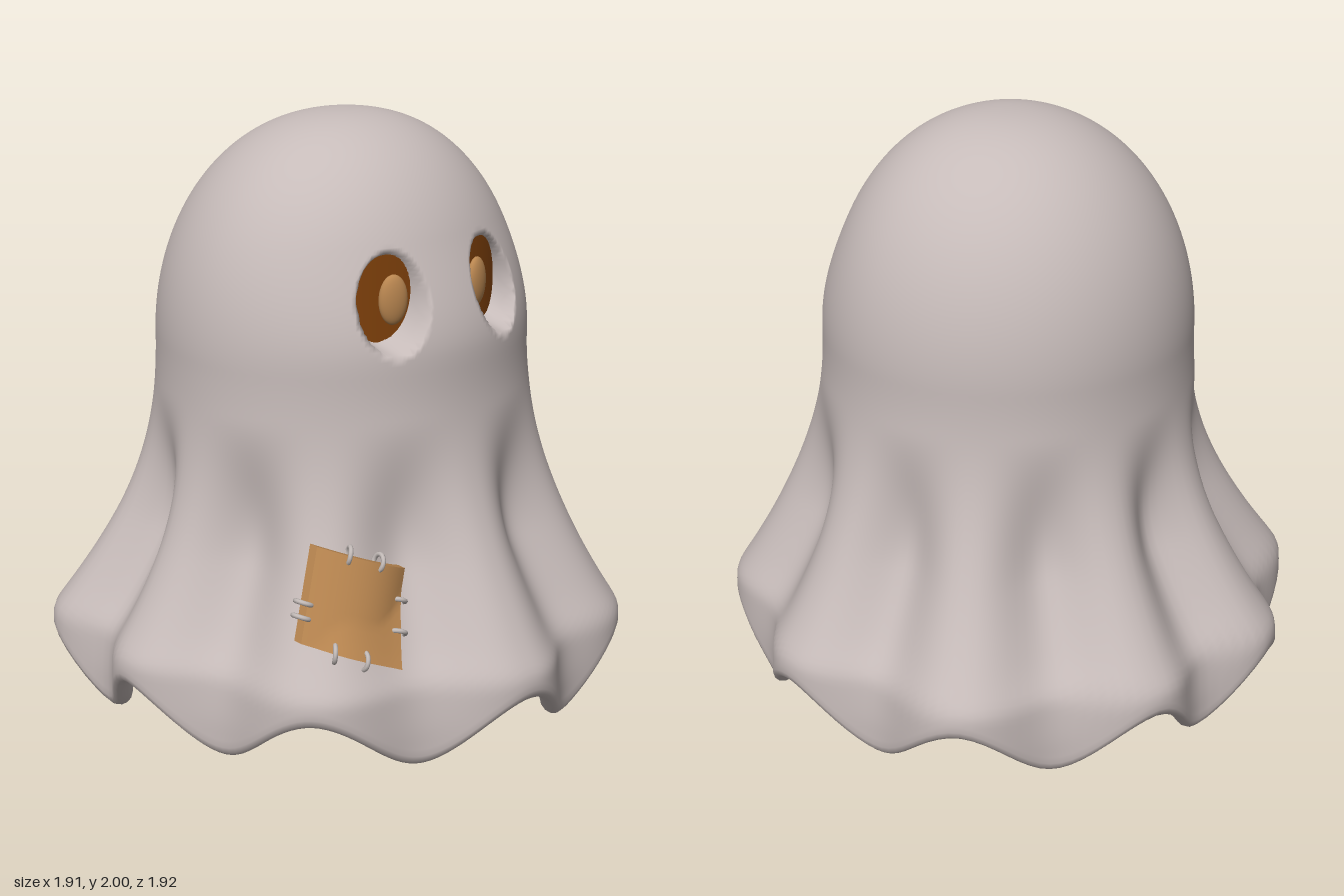
import * as THREE from 'three';

const { smoothstep, lerp, degToRad } = THREE.MathUtils;
const material = (name, color, side = THREE.FrontSide) => {
  const m = new THREE.MeshStandardMaterial({ color, side });
  m.name = name;
  return m;
};
const cloth = material('cloth', 0xc6bbb9);
const tan = material('tan', 0xb98650);
const brown = material('brown', 0x80410b, THREE.DoubleSide);
const thread = material('thread', 0xc2bab7);

const WAIST = 1.25, THICK = 0.075, EYE_Y = 1.475;

// Outward folds of the skirt: angle from +z towards +x, and reach at the hem
const FOLDS = [[0, 0.95], [42, 0.955], [86, 0.955], [126, 0.99], [166, 0.985],
  [199, 1.01], [239, 1.03], [270, 0.955], [314, 0.96], [360, 0.95]];

// crest is 1 on the folds and 0 in the grooves between them
function foldAt(a) {
  const deg = ((a * 180 / Math.PI) % 360 + 360) % 360;
  const i = FOLDS.findIndex((f, k) => deg < FOLDS[k + 1][0]);
  const [a0, r0] = FOLDS[i], [a1, r1] = FOLDS[i + 1];
  const t = (deg - a0) / (a1 - a0);
  return { crest: 0.5 + 0.5 * Math.cos(t * Math.PI * 2), reach: lerp(r0, r1, smoothstep(t, 0, 1)) };
}

// Radius of the sheet at angle a and height y
function radius(a, y) {
  let r;
  if (y > WAIST) {
    const s = Math.min(1, (y - WAIST) / 0.75);
    r = 0.64 * Math.pow(Math.sqrt(1 - s * s), 0.9);
  } else {
    const { crest, reach } = foldAt(a);
    const flare = 0.64 + 0.34 * Math.pow(WAIST - y, 2.1);
    const k = 0.008; // soft limit so the flare stops at the hem
    r = -k * Math.log(Math.exp(-flare / k) + Math.exp(-0.958 / k));
    r *= 1 + (reach / 0.955 - 1) * (1 - smoothstep(y, 0.2, 1.1));
    const groove = 0.1 + 0.025 * smoothstep(y, 0.1, 0.4);
    r -= groove * (1 - smoothstep(y, 0.6, 1.1)) * Math.pow(1 - crest, 1.2);
  }
  // flatter face, head leaning slightly to -x
  const front = Math.max(0, Math.cos(a)) ** 2;
  const flat = 0.06 * smoothstep(y, 0.4, 1.2) + 0.06 * smoothstep(y, 1.3, 1.65);
  return r * (1 - front * flat - 0.02 * Math.sin(a) * smoothstep(y, 0.6, 1.2));
}

// Depth of the front of the sheet, without the eye sockets
function frontZ(x, y) {
  let z = 0.6;
  for (let i = 0; i < 40; i++) {
    const r = radius(Math.atan2(x, z), y);
    z = 0.5 * z + 0.5 * Math.sqrt(Math.max(0.001, r * r - x * x));
  }
  return z;
}

// Eye ellipses lean towards each other at the top
const eyes = [-1, 1].map((side) => ({ side, x: -0.015 + side * 0.213, tilt: side * 0.2 }));
const EYE_W = 0.095, EYE_H = 0.134;

// Upright back of the sockets, so they deepen towards the bottom
const eyeBackZ = (x) => frontZ(x, 1.6) - 0.025;

// 1 inside the sockets, falling to 0 across their rims
function socketMask(x, y) {
  return Math.max(...eyes.map((e) => {
    const dx = x - e.x, dy = y - EYE_Y;
    const c = Math.cos(e.tilt), s = Math.sin(e.tilt);
    const q = Math.hypot((dx * c + dy * s) / EYE_W, (-dx * s + dy * c) / EYE_H);
    return 1 - smoothstep(q, 0.97, 1.22);
  }));
}

// Sheet: outer skin down to the hem, round the rim and up the inner skin
function sheetGeometry() {
  const DOME = 68, SKIRT = 50, COLS = 220, RIM = 6;
  const rows = [];
  for (let i = 0; i <= DOME + SKIRT; i++) rows.push({ i, off: 0, drop: 0 });
  for (let k = 1; k < RIM; k++) {
    const p = (k / RIM) * Math.PI;
    rows.push({ i: DOME + SKIRT, off: THICK / 2 * (1 - Math.cos(p)), drop: THICK / 2 * Math.sin(p) });
  }
  for (let i = DOME + SKIRT; i >= 0; i--) rows.push({ i, off: THICK, drop: 0 });

  const pos = [], index = [];
  rows.forEach(({ i, off, drop }, j) => {
    for (let c = 0; c < COLS; c++) {
      const u = (c / COLS) * Math.PI * 2;
      const a = u - 0.45 * Math.sin(u); // finer columns at the face
      const hem = 0.04 + 0.19 * foldAt(a).crest;
      let y, r;
      if (i <= DOME) {
        const t = (i / DOME) * Math.PI / 2;
        y = WAIST + 0.75 * Math.cos(t);
        r = radius(a, y) - off * Math.sin(t);
        y -= off * Math.cos(t);
      } else {
        y = WAIST - (WAIST - hem) * (i - DOME) / SKIRT;
        r = radius(a, y) - off;
        y -= drop;
      }
      r = Math.max(0, r);
      const x = r * Math.sin(a);
      let z = r * Math.cos(a);
      const mask = z > 0 ? socketMask(x, y) : 0;
      if (mask > 0) z = lerp(z, Math.min(z, eyeBackZ(x) - 0.03 - off), mask);
      pos.push(x, y, z);
      if (j < rows.length - 1) {
        const p = j * COLS + c, q = j * COLS + (c + 1) % COLS;
        index.push(p, p + COLS, q, q, p + COLS, q + COLS);
      }
    }
  });
  const g = new THREE.BufferGeometry();
  g.setAttribute('position', new THREE.Float32BufferAttribute(pos, 3));
  g.setIndex(index);
  g.computeVertexNormals();
  return g;
}

// Moves a flat shape lying in x, y so that it follows a depth rule
function drape(geometry, cx, cy, angle, depth) {
  geometry.rotateZ(angle).translate(cx, cy, 0);
  const p = geometry.attributes.position;
  for (let i = 0; i < p.count; i++) {
    p.setZ(i, p.getZ(i) + depth(p.getX(i), p.getY(i)));
  }
  geometry.computeVertexNormals();
  return geometry;
}

// Patch: bows gently, and rests on the sheet where the sheet stands higher
const PX = -0.465, PY = 0.54, TURN = degToRad(-22), SIZE = 0.305;
function patchZ(x, y) {
  const c = Math.cos(TURN), s = Math.sin(TURN);
  const u = ((x - PX) * c + (y - PY) * s) / SIZE;
  const v = (-(x - PX) * s + (y - PY) * c) / SIZE;
  return Math.max(frontZ(x, y), 0.625 + 0.1 * u - 0.06 * v - 0.2 * u * u);
}

export function createModel() {
  const model = new THREE.Group();
  model.name = 'ghost';
  const add = (name, geometry, mat, parent = model) => {
    const mesh = new THREE.Mesh(geometry, mat);
    mesh.name = name;
    parent.add(mesh);
    return mesh;
  };

  add('sheet', sheetGeometry(), cloth);

  // Eyes: brown backing set into each socket, with an oval pupil
  for (const e of eyes) {
    const side = e.side > 0 ? 'left' : 'right';
    const disc = new THREE.RingGeometry(0.001, 1.13, 40, 6).scale(EYE_W, EYE_H, 1);
    add(side + 'EyeBacking', drape(disc, e.x, EYE_Y, e.tilt, eyeBackZ), brown);
    const px = -0.01 + e.side * 0.18;
    const pupil = add(side + 'Pupil', new THREE.SphereGeometry(1, 28, 18), tan);
    pupil.scale.set(0.05, 0.083, 0.025);
    pupil.position.set(px, EYE_Y, eyeBackZ(px) + 0.004);
    pupil.rotation.y = e.side * 0.3;
  }

  // Sewn patch
  const patch = new THREE.Group();
  patch.name = 'patch';
  model.add(patch);
  const square = new THREE.BoxGeometry(SIZE, SIZE, 0.035, 14, 14, 1);
  add('patchCloth', drape(square, PX, PY, TURN, (x, y) => patchZ(x, y) + 0.006), tan, patch);

  // Two thread loops over each edge: right, top, left, bottom
  const places = [[-0.05, 0.045], [-0.04, 0.06], [0.03, 0.075], [-0.065, 0.025]];
  places.forEach((pair, edge) => {
    const out = TURN + edge * Math.PI / 2;
    const dx = Math.cos(out), dy = Math.sin(out);
    for (const along of pair) {
      const x = PX + dx * SIZE / 2 - dy * along;
      const y = PY + dy * SIZE / 2 + dx * along;
      const h = 0.02;
      const gx = (patchZ(x + h, y) - patchZ(x - h, y)) / (2 * h);
      const gy = (patchZ(x, y + h) - patchZ(x, y - h)) / (2 * h);
      const normal = new THREE.Vector3(-gx, -gy, 1).normalize();
      const across = new THREE.Vector3(dx, dy, gx * dx + gy * dy).normalize();
      const stitch = add('stitch', new THREE.TorusGeometry(0.028, 0.008, 8, 20), thread, patch);
      stitch.quaternion.setFromRotationMatrix(
        new THREE.Matrix4().makeBasis(across, normal, across.clone().cross(normal)));
      stitch.position.set(x, y, patchZ(x, y) + 0.004);
    }
  });
  return model;
}
